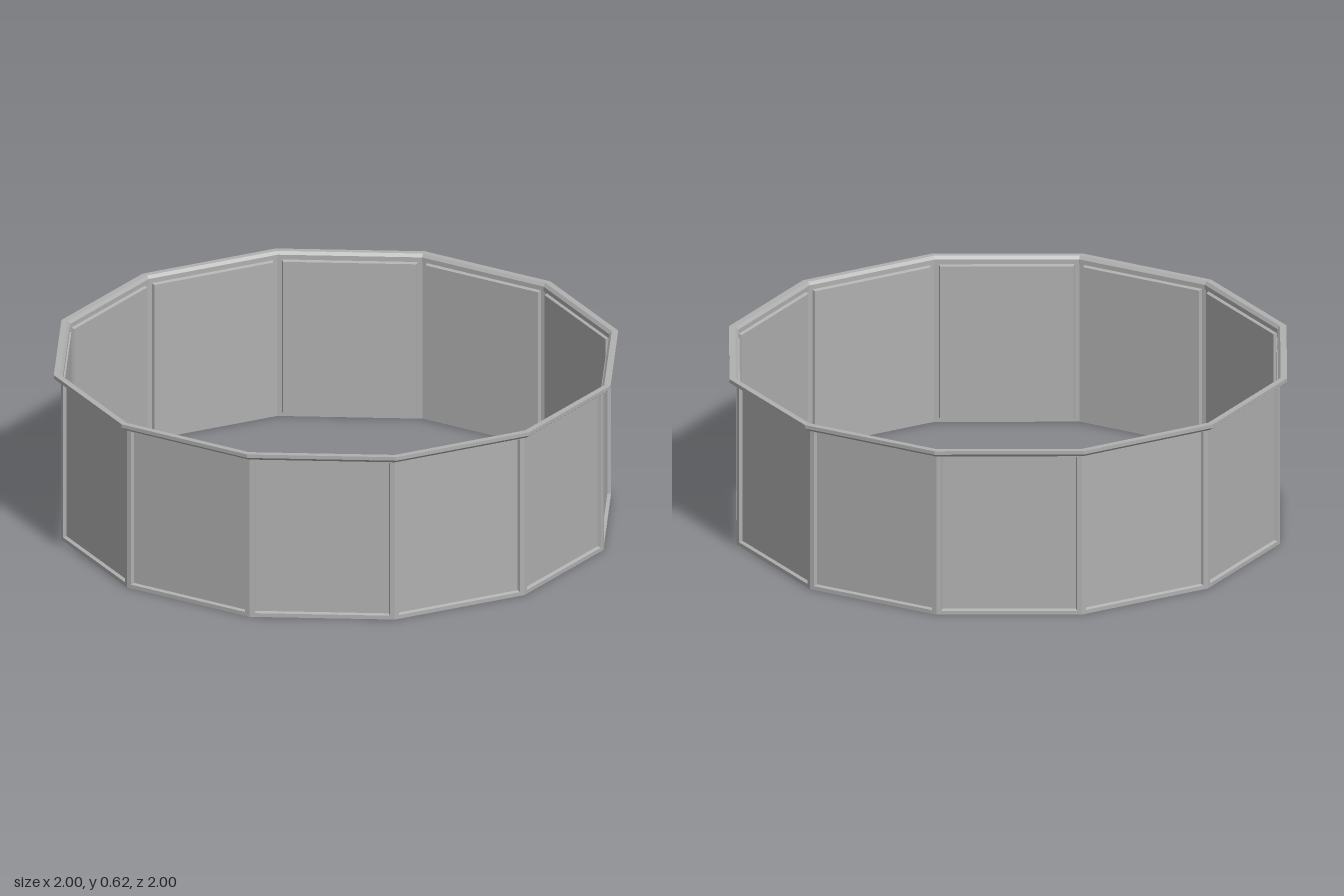
import * as THREE from 'three';

const SIDES = 12;
const WALL_R = 0.975;
const WALL_H = 0.597;

// One wall section: a flat frame with its centre panel pressed inwards
function wallSectionGeometry() {
  const half = WALL_R * Math.sin(Math.PI / SIDES);
  const apothem = WALL_R * Math.cos(Math.PI / SIDES);
  const ring = (side, low, high, z) => [
    [-half + side, low, z], [half - side, low, z],
    [half - side, high, z], [-half + side, high, z],
  ];
  const rings = [
    ring(0, 0, WALL_H, apothem),
    ring(0.017, 0.014, 0.584, apothem),
    ring(0.021, 0.018, 0.580, apothem - 0.012),
  ];
  const pos = [];
  const quad = (a, b, c, d) => pos.push(...a, ...b, ...c, ...a, ...c, ...d);
  for (let r = 0; r < rings.length - 1; r++) {
    for (let k = 0; k < 4; k++) {
      const n = (k + 1) % 4;
      quad(rings[r][k], rings[r][n], rings[r + 1][n], rings[r + 1][k]);
    }
  }
  quad(...rings[2]);
  const geo = new THREE.BufferGeometry();
  geo.setAttribute('position', new THREE.Float32BufferAttribute(pos, 3));
  geo.computeVertexNormals();
  return geo;
}

// Flared twelve-sided lip along the top edge
function rimGeometry() {
  const profile = [
    [0.968, 0.588], [0.984, 0.590], [1.0, 0.602], [1.0, 0.615],
    [0.977, 0.615], [0.968, 0.604], [0.968, 0.588],
  ].map(([r, y]) => new THREE.Vector2(r, y));
  const geo = new THREE.LatheGeometry(profile, SIDES).toNonIndexed();
  geo.computeVertexNormals();
  return geo;
}

export function createModel() {
  const model = new THREE.Group();
  model.name = 'twelveSidedRing';
  const grey = new THREE.MeshStandardMaterial({ color: 0xb0b0b0, side: THREE.DoubleSide, flatShading: true });
  grey.name = 'plain grey';

  // Wall sections around the ring
  const section = wallSectionGeometry();
  const wall = new THREE.Group();
  wall.name = 'wall';
  for (let i = 0; i < SIDES; i++) {
    const mesh = new THREE.Mesh(section, grey);
    mesh.name = 'wallSection' + (i + 1);
    mesh.rotation.y = ((i + 0.5) / SIDES) * Math.PI * 2;
    wall.add(mesh);
  }
  model.add(wall);

  // Top rim
  const rim = new THREE.Mesh(rimGeometry(), grey);
  rim.name = 'topRim';
  model.add(rim);

  return model;
}
